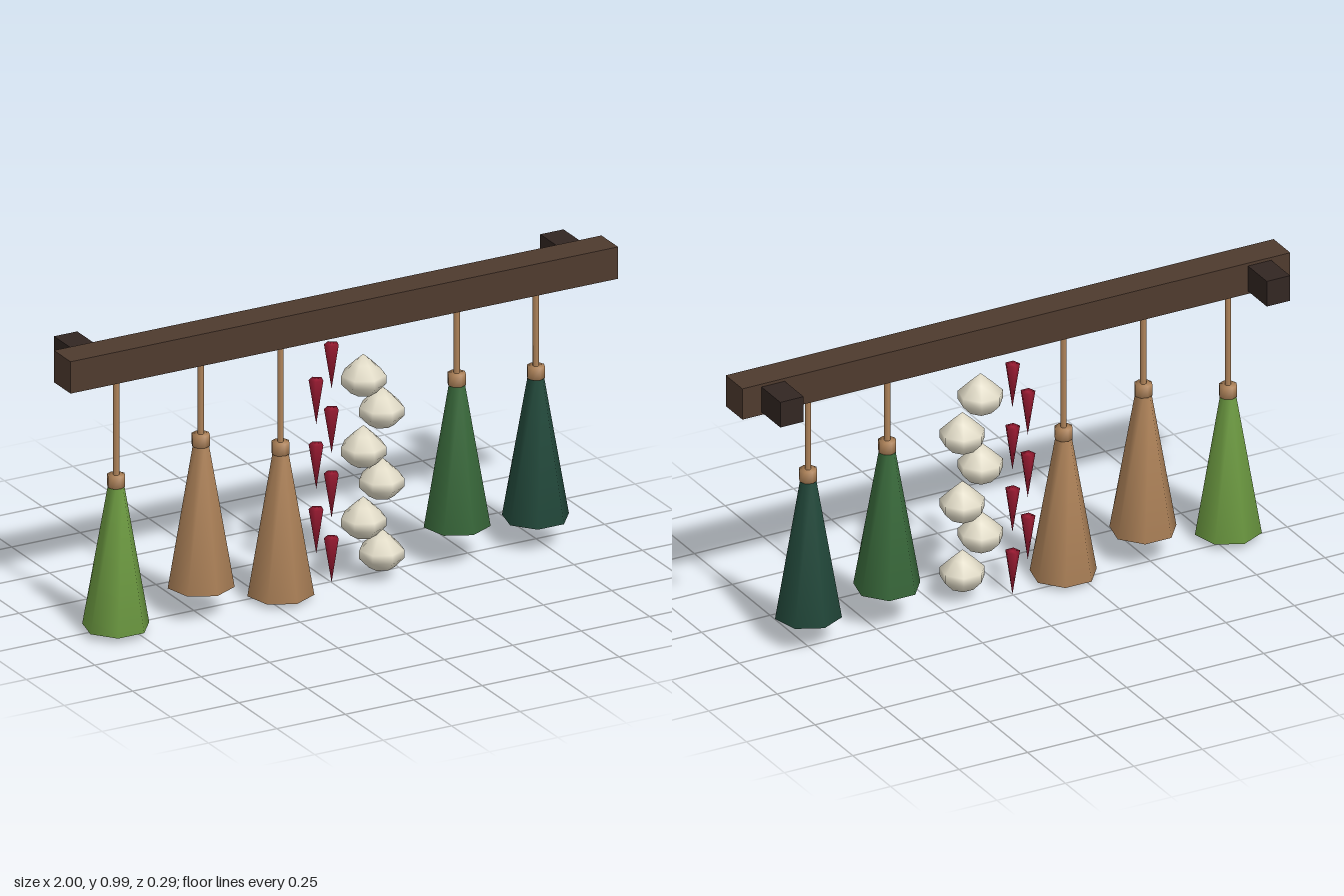
import * as THREE from 'three';
import { mergeVertices } from 'three/addons/utils/BufferGeometryUtils.js';

// Weld all corners so low-poly shapes shade softly, caps included
function soften(geometry) {
  geometry.deleteAttribute('uv');
  geometry.deleteAttribute('normal');
  const welded = mergeVertices(geometry, 1e-4);
  welded.computeVertexNormals();
  return welded;
}

const material = (color) => new THREE.MeshStandardMaterial({ color });

function add(parent, name, geometry, mat, x, y, z) {
  const mesh = new THREE.Mesh(geometry, mat);
  mesh.name = name;
  mesh.position.set(x, y, z);
  parent.add(mesh);
  return mesh;
}

export function createModel() {
  const model = new THREE.Group();
  model.name = 'hangingHerbRack';

  const beamZ = 0.035, beamBottom = 0.88;
  const twine = material(0xb0845a);

  // Beam and the two wall brackets behind it
  add(model, 'beam', new THREE.BoxGeometry(2, 0.11, 0.11), material(0x4e3a2e), 0, 0.935, beamZ);
  const bracketMat = material(0x322622);
  for (const side of [-1, 1]) {
    add(model, 'bracket', new THREE.BoxGeometry(0.085, 0.09, 0.125), bracketMat, side * 0.888, 0.935, -0.0825);
  }

  // Herb bundles: x, bottom height, colour, turn about the cord
  const bundles = [
    [-0.803, 0.02, 0x6e9c42, Math.PI],
    [-0.494, 0.1, 0xb0845a, 0],
    [-0.203, 0.015, 0xb0845a, 0],
    [0.441, 0.125, 0x3a6b3c, 0],
    [0.73, 0.092, 0x234a3c, Math.PI],
  ];
  const leafHeight = 0.488, tieHeight = 0.04;
  const leafGeo = soften(new THREE.CylinderGeometry(0.026, 0.11, leafHeight, 7));
  const tieGeo = soften(new THREE.CylinderGeometry(0.03, 0.03, tieHeight, 8));
  for (const [x, bottom, color, turn] of bundles) {
    const bundle = new THREE.Group();
    bundle.name = 'herbBundle';
    bundle.position.set(x, bottom, beamZ);
    model.add(bundle);
    const leaves = add(bundle, 'leaves', leafGeo, material(color), 0, leafHeight / 2, 0);
    leaves.rotation.y = turn;
    add(bundle, 'tie', tieGeo, twine, 0, leafHeight + tieHeight / 2 - 0.006, 0);
    const cordHeight = beamBottom - bottom - leafHeight + 0.01;
    add(bundle, 'cord', new THREE.CylinderGeometry(0.01, 0.01, cordHeight, 6), twine,
      0, leafHeight + cordHeight / 2, 0);
  }

  // String of chillies, points down, zigzagging between two columns
  const chilliGeo = soften(new THREE.ConeGeometry(0.025, 0.155, 5));
  const chilliMat = material(0xa01c34);
  for (let i = 0; i < 7; i++) {
    const chilli = add(model, 'chilli', chilliGeo, chilliMat, i % 2 ? -0.056 : 0, 0.746 - i * 0.1115, 0.006);
    chilli.rotation.x = Math.PI;
  }

  // Braid of garlic bulbs
  const profile = [[0, 0], [0.042, 0.01], [0.074, 0.044], [0.074, 0.073], [0.034, 0.112], [0, 0.142]];
  const bulbGeo = soften(new THREE.LatheGeometry(profile.map(([r, y]) => new THREE.Vector2(r, y)), 7));
  const bulbMat = material(0xe0dac6);
  for (let i = 0; i < 6; i++) {
    add(model, 'garlicBulb', bulbGeo, bulbMat, i % 2 ? 0.154 : 0.088, 0.648 - i * 0.123, 0.057);
  }

  return model;
}
